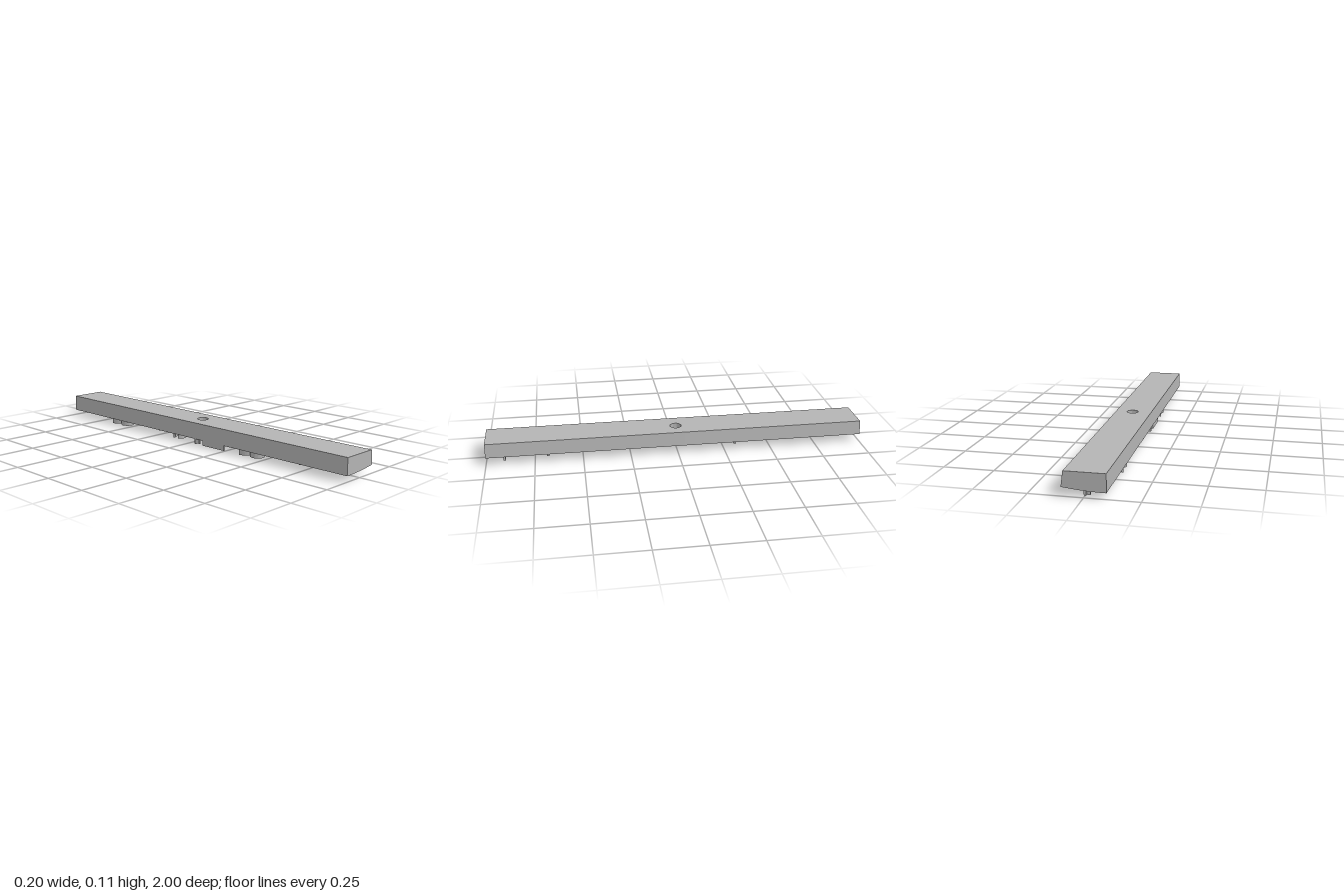
import * as THREE from 'three';
import { toCreasedNormals } from 'three/addons/utils/BufferGeometryUtils.js';

const TOP = 0.115, RIB = 0.0285;
// Height of the gently curved underside at x
const under = (x) => 0.0285 + 0.0135 * ((x + 0.1) / 0.2) ** 2;

export function createModel() {
  const group = new THREE.Group();
  const grey = new THREE.MeshStandardMaterial({ color: 0xb4b4b4 });
  grey.name = 'plain grey';

  const add = (name, geo) => {
    const mesh = new THREE.Mesh(toCreasedNormals(geo, 0.5), grey);
    mesh.name = name;
    group.add(mesh);
  };

  // Extrude an x/z outline vertically, then set top and bottom heights by rule
  const upright = (shape, rule) => {
    const geo = new THREE.ExtrudeGeometry(shape, { depth: 1, bevelEnabled: false, curveSegments: 32 });
    geo.rotateX(Math.PI / 2);
    const p = geo.attributes.position;
    for (let i = 0; i < p.count; i++) {
      const [x, y] = rule(p.getX(i), p.getY(i) > -0.5);
      p.setXY(i, x, y);
    }
    geo.computeVertexNormals();
    return geo;
  };

  // Main bar: two long ends with the curved profile
  const xs = Array.from({ length: 17 }, (_, i) => -0.1 + i * 0.0125);
  const profile = new THREE.Shape([
    ...xs.map((x) => new THREE.Vector2(x, under(x))),
    new THREE.Vector2(0.09, TOP), new THREE.Vector2(-0.1, TOP),
  ]);
  const half = 0.035;
  for (const [name, z] of [['frontBar', half], ['backBar', -1]]) {
    const geo = new THREE.ExtrudeGeometry(profile, { depth: 1 - half, bevelEnabled: false });
    geo.translate(0, 0, z);
    add(name, geo);
  }

  // Middle block with the round through hole
  const block = new THREE.Shape([
    ...xs.map((x) => new THREE.Vector2(x, -half)),
    ...xs.slice().reverse().map((x) => new THREE.Vector2(x, half)),
  ]);
  const hole = new THREE.Path();
  hole.absarc(0, 0, 0.03, 0, Math.PI * 2, true);
  block.holes.push(hole);
  add('holeBlock', upright(block, (x, top) => (top ? [Math.min(x, 0.09), TOP] : [x, under(x)])));

  // Ribs hang from the underside and follow its curve
  const rib = (name, shape) =>
    add(name, upright(shape, (x, top) => [x, under(x) + (top ? 0.004 : -RIB)]));

  const box = (x0, x1, z0, z1) => new THREE.Shape([
    new THREE.Vector2(x0, z0), new THREE.Vector2(x1, z0),
    new THREE.Vector2(x1, z1), new THREE.Vector2(x0, z1),
  ]);

  // Strip of constant width along a smooth path of [x, z] points
  const strip = (points, width, n = 20) => {
    const curve = new THREE.SplineCurve(points.map(([x, z]) => new THREE.Vector2(x, z)));
    const a = [], b = [];
    for (let i = 0; i <= n; i++) {
      const p = curve.getPoint(i / n), t = curve.getTangent(i / n);
      const off = new THREE.Vector2(-t.y, t.x).multiplyScalar(width / 2);
      a.push(p.clone().add(off));
      b.unshift(p.clone().sub(off));
    }
    return new THREE.Shape([...a, ...b]);
  };

  // Pair of small pegs near the front end
  rib('frontPeg', box(0.058, 0.075, 0.9, 0.912));
  rib('frontPeg', box(0.032, 0.048, 0.9, 0.912));

  // Cross tabs
  for (const z of [0.683, -0.318]) rib('crossTab', box(-0.03, 0.048, z - 0.006, z + 0.006));

  // Two matching curled ribs
  for (const dz of [0, -0.998]) {
    rib('curledRib', strip([
      [-0.037, 0.464], [-0.058, 0.47], [-0.08, 0.455], [-0.086, 0.43],
      [-0.07, 0.405], [-0.047, 0.397], [-0.034, 0.375], [-0.042, 0.35],
    ].map(([x, z]) => [x, z + dz]), 0.01, 40));
    rib('curledRibWing', strip([[-0.062, 0.4], [-0.08, 0.378], [-0.09, 0.346]].map(([x, z]) => [x, z + dz]), 0.01));
  }

  // Long edge rib and the small T beside it
  rib('edgeRib', box(-0.095, -0.083, 0.09, 0.24));
  rib('teeBar', box(-0.083, -0.073, 0.02, 0.055));
  rib('teeStem', box(-0.095, -0.083, 0.032, 0.043));

  // Open ring
  const ring = [];
  for (let i = 0; i <= 16; i++) {
    const t = -2.7 + (i / 16) * 5.4;
    ring.push([-0.052 + 0.03 * Math.cos(t), -0.125 + 0.03 * Math.sin(t)]);
  }
  rib('ringRib', strip(ring, 0.01, 48));

  // Small T near the back end
  rib('backTeeBar', box(-0.006, 0.004, -0.98, -0.945));
  rib('backTeeStem', box(-0.022, -0.006, -0.968, -0.957));

  return group;
}
